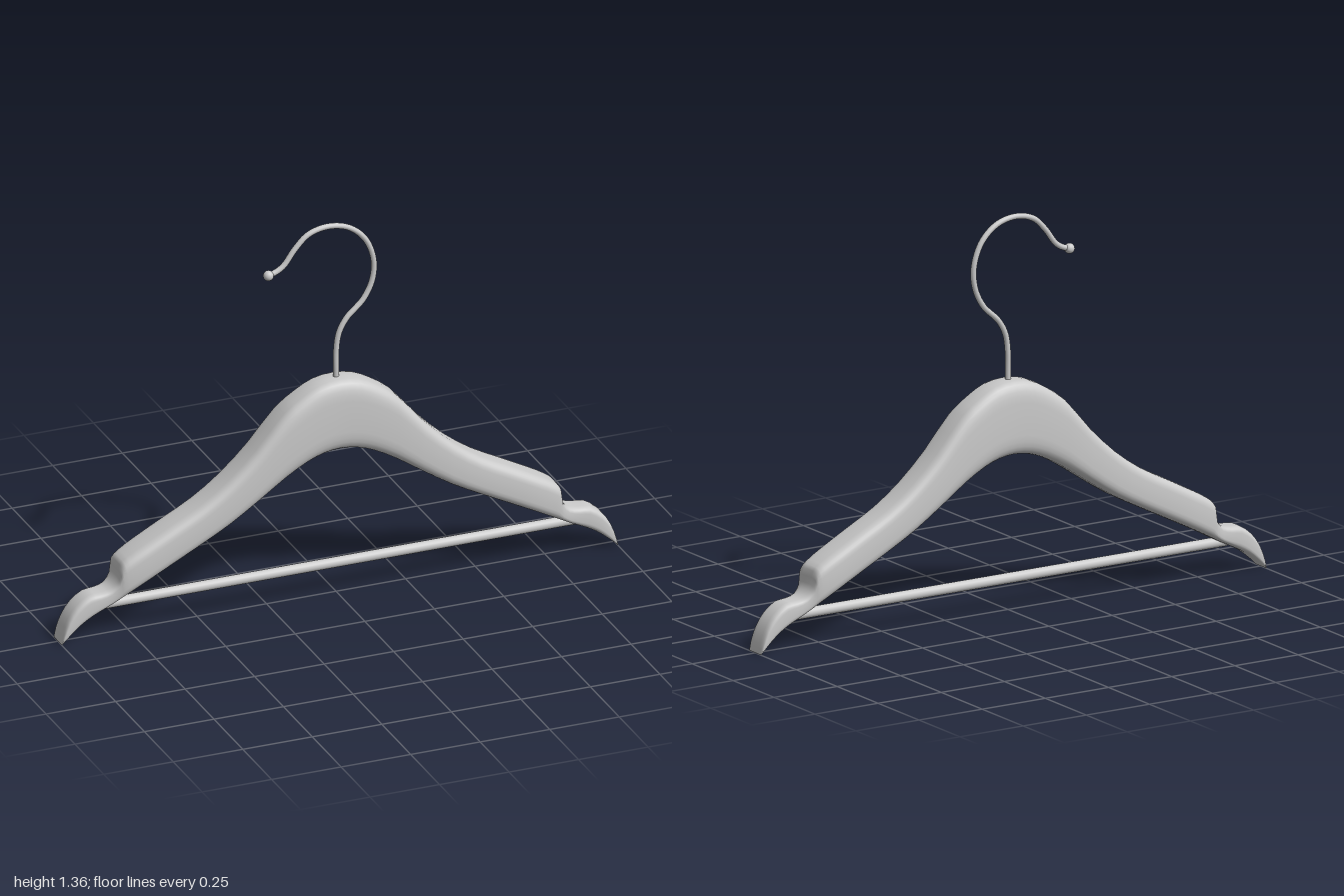
import * as THREE from 'three';

const material = new THREE.MeshStandardMaterial({ color: 0xcccccc });

function addMesh(parent, name, geometry) {
  const mesh = new THREE.Mesh(geometry, material);
  mesh.name = name;
  parent.add(mesh);
  return mesh;
}

// One arm from centre to tip: top x, top y, bottom x, bottom y, half depth
const ARM = [
  [0, 0.795, 0, 0.54, 0.064],
  [0.07, 0.785, 0.06, 0.533, 0.065],
  [0.13, 0.755, 0.12, 0.512, 0.066],
  [0.2, 0.705, 0.2, 0.468, 0.067],
  [0.3, 0.59, 0.29, 0.408, 0.067],
  [0.4, 0.495, 0.4, 0.337, 0.067],
  [0.5, 0.423, 0.5, 0.284, 0.067],
  [0.6, 0.37, 0.6, 0.233, 0.067],
  [0.7, 0.317, 0.7, 0.182, 0.067],
  [0.765, 0.28, 0.745, 0.158, 0.064],
  [0.79, 0.257, 0.775, 0.142, 0.06],
  [0.795, 0.21, 0.8, 0.128, 0.053],
  [0.82, 0.175, 0.83, 0.112, 0.047],
  [0.86, 0.164, 0.86, 0.097, 0.045],
  [0.9, 0.16, 0.89, 0.082, 0.045],
  [0.945, 0.128, 0.925, 0.062, 0.045],
  [0.975, 0.085, 0.96, 0.035, 0.044],
  [0.993, 0.035, 0.985, 0.014, 0.042],
  [1, 0.003, 1, 0, 0.036],
];

// Wooden body: rounded-box cross-sections lofted from one tip to the other
function bodyGeometry() {
  const mirrored = ARM.slice(1).reverse().map(([tx, ty, bx, by, d]) => [-tx, ty, -bx, by, d]);
  const sections = [...mirrored, ...ARM];
  const tops = new THREE.CatmullRomCurve3(sections.map((s) => new THREE.Vector3(s[0], s[1], s[4])));
  const bottoms = new THREE.CatmullRomCurve3(sections.map((s) => new THREE.Vector3(s[2], s[3], s[4])));
  const steps = (sections.length - 1) * 2, around = 32;
  const positions = [], indices = [];
  const soften = (v) => Math.sign(v) * Math.sqrt(Math.abs(v));
  for (let i = 0; i <= steps; i++) {
    const top = tops.getPoint(i / steps), bottom = bottoms.getPoint(i / steps);
    for (let j = 0; j < around; j++) {
      const a = (j / around) * Math.PI * 2;
      const p = bottom.clone().lerp(top, 0.5 + 0.5 * soften(Math.sin(a)));
      positions.push(p.x, p.y, top.z * soften(Math.cos(a)));
    }
  }
  for (let i = 0; i < steps; i++) {
    for (let j = 0; j < around; j++) {
      const k = (j + 1) % around;
      const a = i * around + j, b = a + around, c = i * around + k, d = c + around;
      indices.push(a, b, c, b, d, c);
    }
  }
  // Close both narrow tips
  for (let j = 1; j < around - 1; j++) {
    const e = steps * around;
    indices.push(0, j, j + 1, e, e + j + 1, e + j);
  }
  const geometry = new THREE.BufferGeometry();
  geometry.setAttribute('position', new THREE.Float32BufferAttribute(positions, 3));
  geometry.setIndex(indices);
  geometry.computeVertexNormals();
  return geometry;
}

export function createModel() {
  const model = new THREE.Group();
  model.name = 'coatHanger';

  addMesh(model, 'woodenBody', bodyGeometry());

  // Trouser bar between the arms
  const bar = addMesh(model, 'trouserBar', new THREE.CylinderGeometry(0.018, 0.018, 1.72, 20));
  bar.rotation.z = Math.PI / 2;
  bar.position.y = 0.108;

  // Wire hook with a ball at its end
  const hookPath = new THREE.CatmullRomCurve3([
    [0, 0.7], [0, 0.8], [0, 0.88], [0.01, 0.95], [0.037, 1.0], [0.098, 1.06],
    [0.13, 1.125], [0.135, 1.2], [0.105, 1.28], [0.045, 1.333], [-0.03, 1.35],
    [-0.1, 1.333], [-0.148, 1.288], [-0.188, 1.235], [-0.215, 1.217], [-0.245, 1.208],
  ].map(([x, y]) => new THREE.Vector3(x, y, 0)));
  addMesh(model, 'hook', new THREE.TubeGeometry(hookPath, 90, 0.01, 12));
  const ball = addMesh(model, 'hookBall', new THREE.SphereGeometry(0.018, 20, 14));
  ball.position.set(-0.243, 1.208, 0);

  return model;
}
